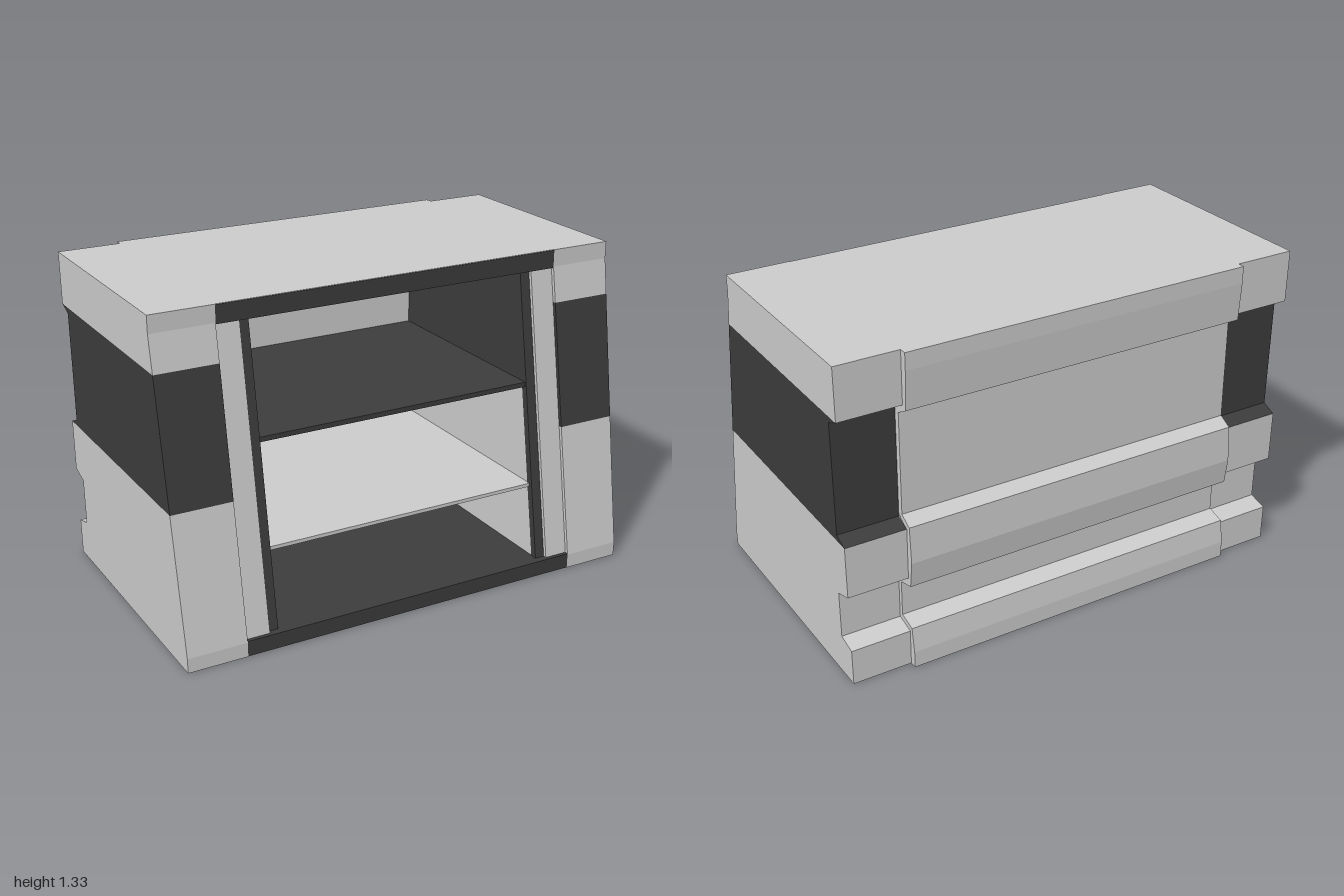
import * as THREE from 'three';

const grey = new THREE.MeshStandardMaterial({ color: 0xcccccc, flatShading: true });
const dark = new THREE.MeshStandardMaterial({ color: 0x3c3c3c, flatShading: true });

const H = 1.33;         // total height
const HALF = 0.74;      // half width of the middle section
const INNER = 0.6;      // half width of the opening
const BAND = [0.605, 1.115];

// z of the sloping front at height y
const frontZ = (y) => 0.58 - 0.2 * THREE.MathUtils.clamp((y - 0.06) / 1.2, 0, 1);

// back edges as [z, y], from the bottom up
const sideBack = [[-0.55, 0], [-0.55, 0.15], [-0.47, 0.17], [-0.47, 0.365], [-0.55, 0.39], [-0.55, 0.605],
  [-0.49, 0.63], [-0.49, 1.09], [-0.55, 1.115], [-0.55, H]];
const panelOuter = [[-0.58, 0], [-0.58, 0.07], [-0.565, 0.17], [-0.49, 0.19], [-0.49, 0.34], [-0.565, 0.36],
  [-0.58, 0.47], [-0.57, 0.62], [-0.515, 0.65], [-0.515, 1.07], [-0.57, 1.1], [-0.58, 1.26], [-0.58, H]];
const panelInner = [[-0.54, 0], [-0.54, 0.15], [-0.46, 0.17], [-0.46, 0.385], [-0.54, 0.41], [-0.54, 0.605],
  [-0.49, 0.64], [-0.49, 1.09], [-0.54, 1.12], [-0.54, H]];

// extrudes a [z, y] outline along x between two positions
function slab(name, outline, xa, xb, material) {
  const x0 = Math.min(xa, xb), depth = Math.abs(xb - xa);
  const shape = new THREE.Shape(outline.map(([z, y]) => new THREE.Vector2(-z, y)));
  const geo = new THREE.ExtrudeGeometry(shape, { depth, bevelEnabled: false });
  geo.rotateY(Math.PI / 2).translate(x0, 0, 0);
  const mesh = new THREE.Mesh(geo, material);
  mesh.name = name;
  return mesh;
}

// box given by its ranges on each axis
function block(name, [x0, x1], [y0, y1], [z0, z1], material) {
  const geo = new THREE.BoxGeometry(x1 - x0, y1 - y0, z1 - z0);
  geo.translate((x0 + x1) / 2, (y0 + y1) / 2, (z0 + z1) / 2);
  const mesh = new THREE.Mesh(geo, material);
  mesh.name = name;
  return mesh;
}

// outline between two heights: stepped back, sloping front set back by inset
function section(y0, y1, inset = 0) {
  const back = sideBack.filter(([, y]) => y >= y0 && y <= y1);
  const bottom = back[0][1] > y0 ? [[back[0][0], y0]] : [];
  const top = back[back.length - 1][1] < y1 ? [[back[back.length - 1][0], y1]] : [];
  const heights = [y1, 1.26, 0.06, y0].filter((y, i) => i % 3 === 0 || (y > y0 && y < y1));
  return [...bottom, ...back, ...top, ...heights.map((y) => [frontZ(y) - inset, y])];
}

// draws the outer face in slightly towards the ground
function taper(mesh) {
  const p = mesh.geometry.attributes.position;
  for (let i = 0; i < p.count; i++) {
    const x = p.getX(i);
    if (Math.abs(x) > 0.9) p.setX(i, x * (1 - 0.015 * (1 - p.getY(i) / H)));
  }
  mesh.geometry.computeVertexNormals();
  return mesh;
}

function createSide(s) {
  const side = new THREE.Group();
  side.name = s > 0 ? 'leftSide' : 'rightSide';
  // outer slab in three tiers, the middle one dark
  side.add(
    taper(slab('lowerSide', section(0, BAND[0]), s * HALF, s, grey)),
    taper(slab('sideBand', section(...BAND), s * HALF, s, dark)),
    taper(slab('upperSide', section(BAND[1], H), s * HALF, s, grey)),
  );
  // front post and inner wall
  side.add(
    slab('frontPost', section(0.03, 1.3, 0.015), s * 0.64, s * HALF, grey),
    slab('innerWall', section(0.03, 1.3, 0.045), s * INNER, s * 0.64, grey),
  );
  // dark trim along the opening
  const a = 0.06, b = 1.26;
  side.add(slab('openingTrim', [[frontZ(a) - 0.06, a], [frontZ(b) - 0.06, b],
    [frontZ(b) - 0.03, b], [frontZ(a) - 0.03, a]], s * 0.598, s * 0.64, dark));
  // dark lining of the upper compartment
  const c = 0.8;
  side.add(slab('upperLining', [[-0.5, c], [-0.5, b], [frontZ(b) - 0.05, b], [frontZ(c) - 0.05, c]],
    s * 0.598, s * 0.61, dark));
  return side;
}

export function createModel() {
  const model = new THREE.Group();
  model.name = 'counter';
  for (const s of [1, -1]) model.add(createSide(s));

  // stepped back panel
  model.add(slab('backPanel', [...panelOuter, ...panelInner.slice().reverse()], -HALF, HALF, grey));

  // base, roof and their dark front beams
  const mid = [-HALF, HALF];
  model.add(
    block('base', mid, [0, 0.01], [-0.54, 0.578], grey),
    block('floor', mid, [0.01, 0.065], [-0.54, 0.579], dark),
    block('bottomBeam', mid, [0.002, 0.065], [0.56, 0.58], dark),
    block('roof', mid, [1.275, H], [-0.54, 0.377], grey),
    block('ceiling', mid, [1.255, 1.275], [-0.54, 0.37], dark),
    block('topBeam', mid, [1.255, 1.328], [0.36, 0.38], dark),
  );

  // shelves
  const inside = [-INNER, INNER];
  model.add(
    block('upperShelf', inside, [0.785, 0.805], [-0.5, 0.42], dark),
    block('lowerShelf', inside, [0.365, 0.38], [-0.47, 0.48], grey),
  );
  return model;
}
